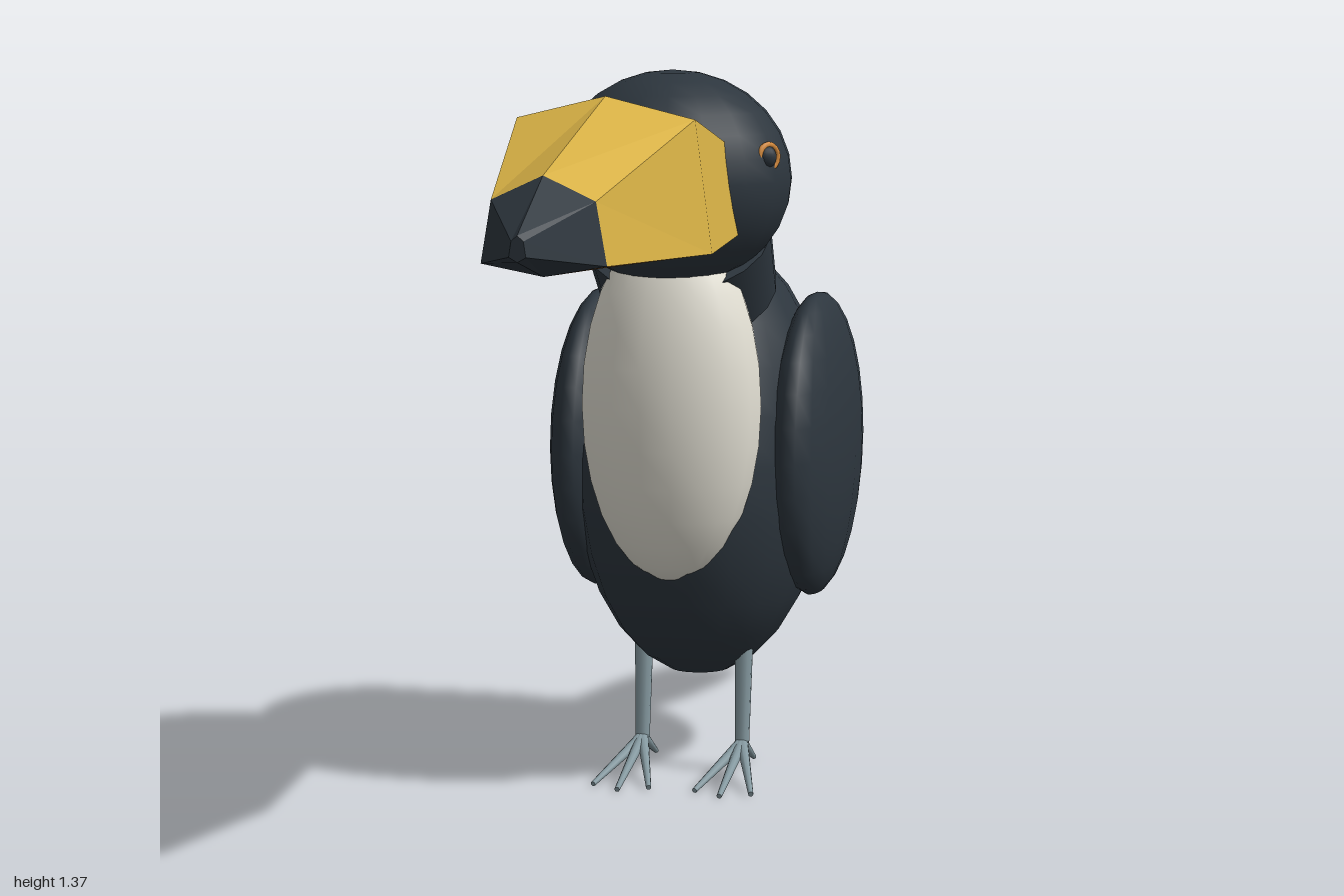
import * as THREE from 'three';

const paint = (name, hex) => {
  const m = new THREE.MeshStandardMaterial({ color: hex });
  m.name = name;
  return m;
};

export function createModel() {
  const bird = new THREE.Group();
  bird.name = 'bird';

  const plumage = paint('slate plumage', 0x2d363e);
  const cream = paint('cream bib', 0xe4e1d5);
  const yellow = paint('yellow bill', 0xd9b246);
  const brown = paint('brown lower bill', 0x85562d);
  const grey = paint('grey legs', 0x8599a0);
  const orange = paint('orange eye ring', 0xd48a3c);

  const add = (name, geometry, material, parent = bird) => {
    const mesh = new THREE.Mesh(geometry, material);
    mesh.name = name;
    parent.add(mesh);
    return mesh;
  };
  const ellipsoid = (name, material, pos, radii, tilt = 0, seg = 18) => {
    const mesh = add(name, new THREE.SphereGeometry(1, seg, 14), material);
    mesh.position.set(...pos);
    mesh.scale.set(...radii);
    mesh.rotation.x = tilt;
    return mesh;
  };
  // Tapered rod between two points
  const rod = (name, a, b, ra, rb, material, parent) => {
    const from = new THREE.Vector3(...a), dir = new THREE.Vector3(...b).sub(from);
    const mesh = add(name, new THREE.CylinderGeometry(rb, ra, dir.length(), 10), material, parent);
    mesh.position.copy(from).addScaledVector(dir, 0.5);
    mesh.quaternion.setFromUnitVectors(new THREE.Vector3(0, 1, 0), dir.normalize());
    return mesh;
  };

  // Body, bib, neck and head
  ellipsoid('body', plumage, [0, 0.61, -0.255], [0.25, 0.43, 0.325], -0.08);
  ellipsoid('bib', cream, [0, 0.75, 0.01], [0.172, 0.34, 0.13]);
  const neck = rod('neck', [0, 0.95, -0.13], [0, 1.06, -0.043], 0.148, 0.155, plumage);
  neck.geometry = new THREE.CylinderGeometry(0.155, 0.148, 0.14, 20);
  neck.scale.x = 1.14;
  ellipsoid('head', plumage, [0, 1.17, 0], [0.224, 0.2, 0.212]);

  // Bill: six-sided sections [z, ridge y, shoulder x, shoulder y, jaw x, jaw y, keel y]
  const sections = [
    [0.1, 1.275, 0.128, 1.24, 0.15, 1.078, 1.05],
    [0.475, 1.343, 0.157, 1.305, 0.187, 1.078, 1.05],
    [0.855, 1.235, 0.087, 1.195, 0.105, 1.092, 1.073],
    [1.0, 1.152, 0.01, 1.143, 0.014, 1.118, 1.11],
  ].map(([z, ry, sx, sy, jx, jy, ky]) => [
    [0, ry, z], [sx, sy, z], [jx, jy, z], [0, ky, z], [-jx, jy, z], [-sx, sy, z],
  ]);
  const bill = new THREE.Group();
  bill.name = 'bill';
  bird.add(bill);
  const skin = (name, rings, sides, material, cap) => {
    const p = [];
    for (let s = 0; s < rings.length - 1; s++) {
      for (const i of sides) {
        const a = rings[s], b = rings[s + 1], j = (i + 1) % 6;
        p.push(...a[i], ...b[i], ...a[j], ...a[j], ...b[i], ...b[j]);
      }
    }
    if (cap) {
      const end = rings[rings.length - 1];
      for (let k = 1; k < 5; k++) p.push(...end[0], ...end[k + 1], ...end[k]);
    }
    const g = new THREE.BufferGeometry();
    g.setAttribute('position', new THREE.Float32BufferAttribute(p, 3));
    g.computeVertexNormals();
    add(name, g, material, bill);
  };
  skin('upperBill', sections.slice(0, 3), [0, 1, 4, 5], yellow);
  skin('lowerBill', sections.slice(0, 3), [2, 3], brown);
  skin('billTip', sections.slice(2), [0, 1, 2, 3, 4, 5], plumage, true);

  // Tail: three overlapping flat feathers
  for (const x of [-0.052, 0, 0.052]) {
    ellipsoid('tailFeather', plumage, [x, 0.302, -0.73], [0.054, 0.283, 0.016], 1.245, 12);
  }

  for (const side of [1, -1]) {
    const label = side > 0 ? 'left' : 'right';
    ellipsoid(label + 'Wing', plumage, [side * 0.215, 0.635, -0.3], [0.078, 0.297, 0.28]);

    // Eye and its ring, turned partly forward
    ellipsoid(label + 'Eye', plumage, [side * 0.192, 1.217, 0.073], [0.02, 0.022, 0.02], 0, 10);
    const ring = add(label + 'EyeRing', new THREE.TorusGeometry(0.022, 0.006, 8, 16), orange);
    ring.position.set(side * 0.197, 1.217, 0.074);
    ring.rotation.y = side * 0.95;

    // Leg with three front toes and one hind toe
    const leg = new THREE.Group();
    leg.name = label + 'Leg';
    bird.add(leg);
    const x = side * 0.1, ankle = [x, 0.062, -0.158];
    rod('shank', ankle, [x, 0.26, -0.172], 0.014, 0.018, grey, leg);
    const toes = [[-0.055, 0.01], [0, 0.038], [0.055, 0.01], [0, -0.265]];
    for (const [dx, z] of toes) {
      rod('toe', ankle, [x + dx, 0.006, z], 0.012, 0.005, grey, leg);
    }
  }
  return bird;
}
